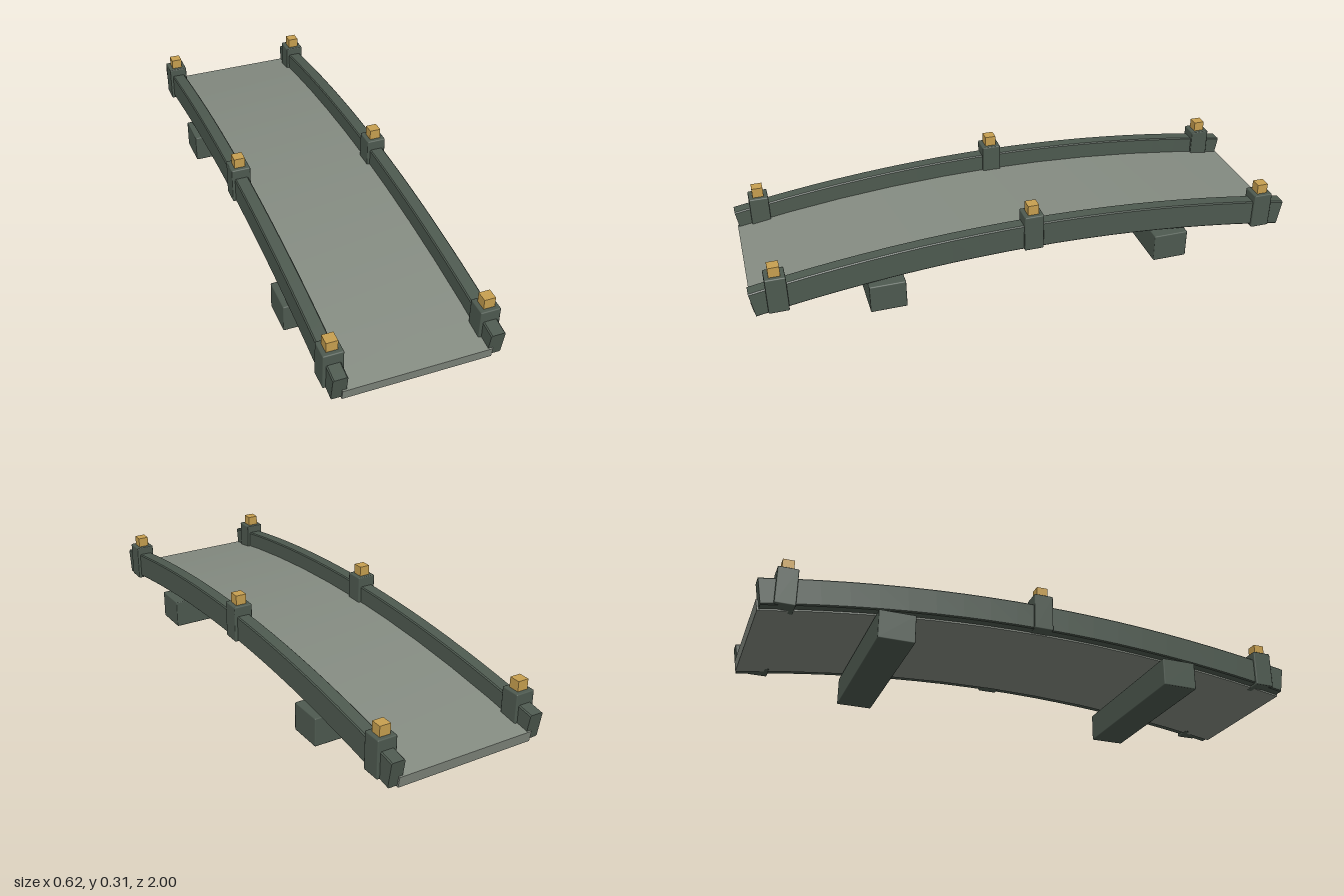
import * as THREE from 'three';
import { toCreasedNormals } from 'three/addons/utils/BufferGeometryUtils.js';
import { RoundedBoxGeometry } from 'three/addons/geometries/RoundedBoxGeometry.js';

const HALF = 0.99; // half length of the span
const DROP = 0.086; // fall of the arch from crown to end

// Fall of the arch below its crown at z
const fall = (z) => DROP * (z / HALF) ** 2;

// Rectangle corners with small chamfers, counter-clockwise
function section(w, h, c) {
  const x = w / 2, y = h / 2;
  if (!c) return [[-x, -y], [x, -y], [x, y], [-x, y]];
  return [[-x + c, -y], [x - c, -y], [x, -y + c], [x, y - c],
    [x - c, y], [-x + c, y], [-x, y - c], [-x, -y + c]];
}

// Sweep a section along the arch, keeping it square to the slope
function archSweep(points, crownY, segments) {
  const n = points.length, pos = [], idx = [];
  for (let i = 0; i <= segments; i++) {
    const z = -HALF + (2 * HALF * i) / segments;
    const a = Math.atan((2 * DROP * z) / (HALF * HALF));
    for (const [x, v] of points) {
      pos.push(x, crownY - fall(z) + v * Math.cos(a), z + v * Math.sin(a));
    }
  }
  for (let i = 0; i < segments; i++) {
    for (let j = 0; j < n; j++) {
      const a = i * n + j, b = i * n + ((j + 1) % n);
      idx.push(a, b, b + n, a, b + n, a + n);
    }
  }
  const end = segments * n;
  for (let j = 1; j < n - 1; j++) {
    idx.push(0, j + 1, j, end, end + j, end + j + 1);
  }
  const geo = new THREE.BufferGeometry();
  geo.setAttribute('position', new THREE.Float32BufferAttribute(pos, 3));
  geo.setIndex(idx);
  return toCreasedNormals(geo, 0.3);
}

export function createModel() {
  const model = new THREE.Group();
  model.name = 'archedBridge';

  const material = (name, color) => {
    const m = new THREE.MeshStandardMaterial({ color });
    m.name = name;
    return m;
  };
  const darkWood = material('dark green wood', 0x4e5a50);
  const deckGrey = material('grey deck', 0x858c82);
  const gold = material('gold', 0xc8a050);

  const add = (name, geo, mat, x = 0, y = 0, z = 0) => {
    const mesh = new THREE.Mesh(geo, mat);
    mesh.name = name;
    mesh.position.set(x, y, z);
    model.add(mesh);
  };

  // Curved walkway
  add('deck', archSweep(section(0.514, 0.04, 0), 0.157, 10), deckGrey);

  // Support beams under the deck
  const beamGeo = new RoundedBoxGeometry(0.616, 0.105, 0.13, 1, 0.004);
  for (const z of [-0.533, 0.533]) add('supportBeam', beamGeo, darkWood, 0, 0.0525, z);

  // Side rails, posts and caps
  const railGeo = archSweep(section(0.05, 0.097, 0.004), 0.191, 20);
  const postGeo = new RoundedBoxGeometry(0.071, 0.136, 0.071, 1, 0.004);
  const capGeo = new THREE.BoxGeometry(0.04, 0.038, 0.04);
  for (const side of [-1, 1]) {
    const x = side * 0.267;
    add(side > 0 ? 'leftRail' : 'rightRail', railGeo, darkWood, x);
    for (const z of [-0.905, 0, 0.905]) {
      const top = 0.277 - fall(z) * 1.03;
      add('post', postGeo, darkWood, x, top - 0.068, z);
      add('postCap', capGeo, gold, x, top + 0.018, z);
    }
  }
  return model;
}
